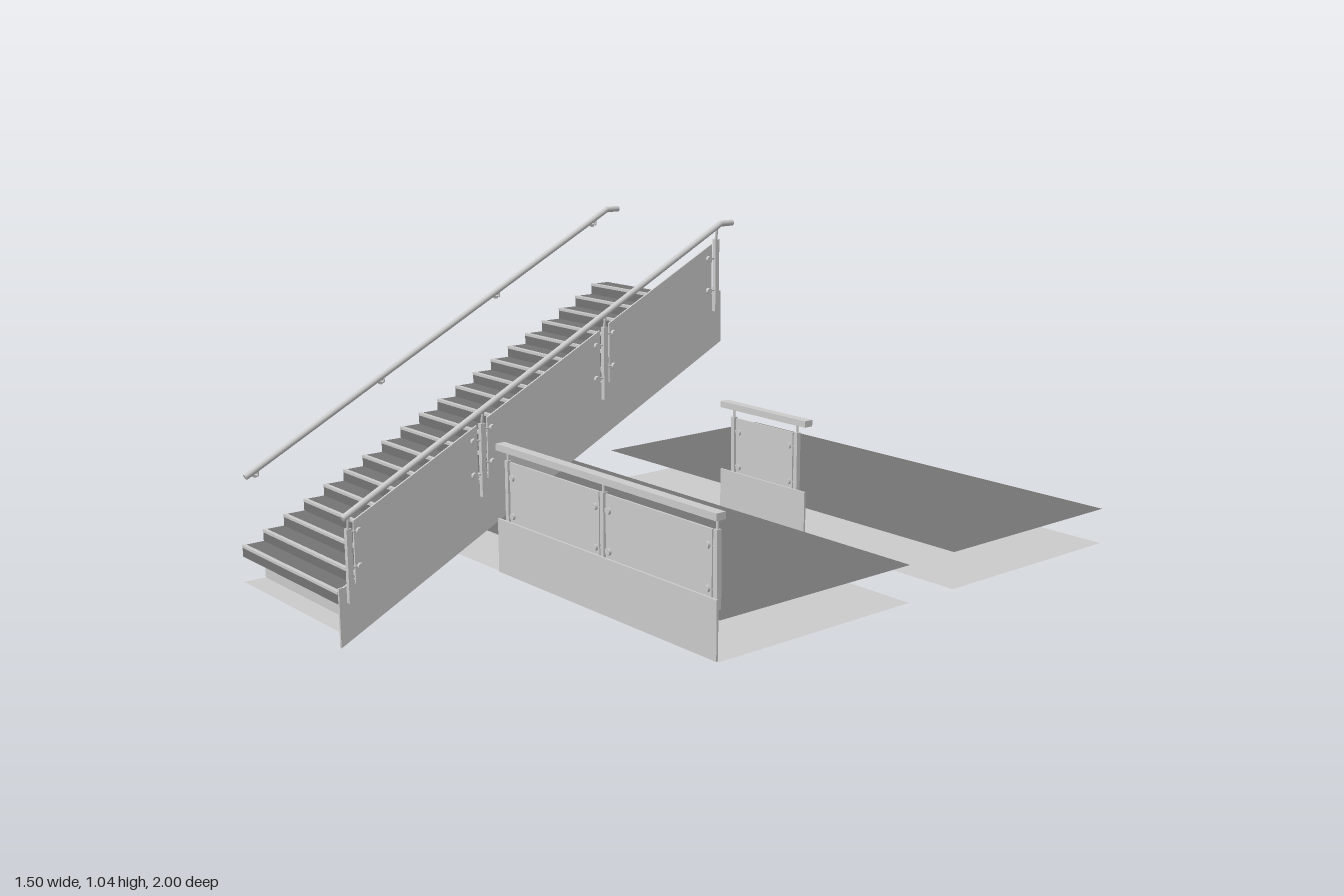
import * as THREE from 'three';

const mat = new THREE.MeshStandardMaterial({ color: 0xcccccc });
const thin = new THREE.MeshStandardMaterial({ color: 0xcccccc, side: THREE.DoubleSide });
const dark = new THREE.MeshStandardMaterial({ color: 0x747474, side: THREE.DoubleSide });

const SLOPE = 0.504, STEPS = 20, RUN = 1.333 / STEPS, RISE = 0.0335;
const slopeY = (z, y0) => y0 + (1 - z) * SLOPE; // height of a line parallel to the stair

function add(parent, name, geometry, material = mat) {
  const mesh = new THREE.Mesh(geometry, material);
  mesh.name = name;
  parent.add(mesh);
  return mesh;
}

function group(parent, name) {
  const g = new THREE.Group();
  g.name = name;
  parent.add(g);
  return g;
}

function box(parent, name, w, h, d, x, y, z) {
  add(parent, name, new THREE.BoxGeometry(w, h, d)).position.set(x, y, z);
}

// Round bar between two points
function bar(parent, name, a, b, r, sides = 14) {
  const p = new THREE.Vector3(...a), q = new THREE.Vector3(...b);
  const dir = q.clone().sub(p);
  const m = add(parent, name, new THREE.CylinderGeometry(r, r, dir.length(), sides));
  m.position.copy(p).add(q).multiplyScalar(0.5);
  m.quaternion.setFromUnitVectors(new THREE.Vector3(0, 1, 0), dir.normalize());
}

// Flat plate with an outline in z and y, centred on x
function sidePlate(parent, name, outline, x, thickness) {
  const shape = new THREE.Shape(outline.map(([z, y]) => new THREE.Vector2(-z, y)));
  const geo = new THREE.ExtrudeGeometry(shape, { depth: thickness, bevelEnabled: false });
  geo.rotateY(Math.PI / 2).translate(x - thickness / 2, 0, 0);
  add(parent, name, geo);
}

// Open folded sheet: a z,y profile swept between two x positions
function foldedSheet(parent, name, profile, x0, x1, material) {
  const v = [];
  for (let i = 0; i + 1 < profile.length; i++) {
    const [za, ya] = profile[i], [zb, yb] = profile[i + 1];
    v.push(x0, ya, za, x1, ya, za, x1, yb, zb, x0, ya, za, x1, yb, zb, x0, yb, zb);
  }
  const geo = new THREE.BufferGeometry();
  geo.setAttribute('position', new THREE.Float32BufferAttribute(v, 3));
  geo.computeVertexNormals();
  add(parent, name, geo, material);
}

// Floor made of a dark upper sheet and a light lower sheet
function floor(parent, name, z0, z1) {
  const g = group(parent, name);
  foldedSheet(g, 'floorTop', [[z1, 0.22], [z0, 0.22]], -0.75, 0.75, dark);
  foldedSheet(g, 'floorUnderside', [[z1, 0.115], [z0, 0.115]], -0.75, 0.75, thin);
}

// Dark treads with light nosing strips, over a light stepped underside
function buildSteps(parent) {
  const g = group(parent, 'steps');
  const x0 = -0.75, x1 = -0.199;
  const upper = [[1, 0.12]], lower = [];
  for (let i = 0; i < STEPS; i++) {
    const front = 1 - i * RUN, back = front - RUN;
    const y = 0.12 + (i + 1) * RISE;
    upper.push([front, y], [back, y]);
    lower.push([front, y - 0.11], [back, y - 0.11]);
    box(g, 'nosing', x1 - x0, 0.008, 0.012, (x0 + x1) / 2, y - 0.0025, front - 0.0045);
  }
  foldedSheet(g, 'treads', upper, x0, x1, dark);
  foldedSheet(g, 'stairUnderside', lower, x0, x1, thin);
}

// Sloping rail with a short level end at the top
function stairRail(parent, x) {
  const low = [x, 0.357, 0.99], bend = [x, 1.03, -0.315], end = [x, 1.03, -0.362];
  bar(parent, 'slopingHandrail', low, bend, 0.009);
  bar(parent, 'levelHandrailEnd', bend, end, 0.009);
  add(parent, 'handrailBend', new THREE.SphereGeometry(0.009, 14, 10)).position.set(...bend);
}

const railY = (z) => 0.357 + (0.99 - z) * (0.673 / 1.305);

function buildStairRailing(parent) {
  const g = group(parent, 'stairRailing');
  const x = -0.182;
  stairRail(g, -0.176);
  // Posts with a thin stem up to the rail
  const posts = [0.972, 0.548, 0.122, -0.303];
  for (const z of posts) {
    const base = slopeY(z, 0.11), top = railY(z) - 0.04;
    box(g, 'stairPost', 0.014, top - base, 0.015, x, (base + top) / 2, z);
    bar(g, 'postStem', [x, top, z], [-0.176, railY(z), z], 0.004, 8);
  }
  // Sloping panels with corner clips
  for (let i = 0; i < 3; i++) {
    const a = posts[i] - 0.017, b = posts[i + 1] + 0.017;
    sidePlate(g, 'stairPanel', [
      [a, slopeY(a, 0.15)], [b, slopeY(b, 0.15)], [b, slopeY(b, 0.322)], [a, slopeY(a, 0.322)],
    ], x - 0.002, 0.006);
    for (const [z, toward] of [[a - 0.014, posts[i]], [b + 0.014, posts[i + 1]]]) {
      for (const h of [0.19, 0.286]) {
        const y = slopeY(z, h);
        bar(g, 'panelClip', [x - 0.012, y, z], [x + 0.01, y, z], 0.009, 12);
        bar(g, 'clipArm', [x, y, z], [x, y, toward], 0.003, 8);
      }
    }
  }
}

function buildWallRail(parent) {
  const g = group(parent, 'wallRail');
  const x = -0.729;
  stairRail(g, x);
  for (const z of [0.95, 0.53, 0.11, -0.27]) {
    const y = railY(z);
    bar(g, 'bracketStem', [x, y, z], [x, y - 0.022, z], 0.003, 8);
    bar(g, 'bracketArm', [x, y - 0.022, z], [-0.747, y - 0.022, z], 0.003, 8);
    bar(g, 'bracketPlate', [-0.746, y - 0.022, z], [-0.75, y - 0.022, z], 0.01, 12);
  }
}

// Level railing along x: skirt board, posts, panels, clips and rail
function levelRailing(parent, name, x0, x1, z, posts) {
  const g = group(parent, name);
  const mid = (x0 + x1) / 2, len = x1 - x0;
  box(g, 'skirtBoard', len, 0.155, 0.006, mid, 0.193, z + 0.013);
  box(g, 'levelHandrail', len, 0.019, 0.03, mid, 0.475, z + 0.003);
  for (const x of posts) {
    box(g, 'levelPost', 0.014, 0.2, 0.014, x, 0.34, z);
    bar(g, 'postStem', [x, 0.435, z], [x, 0.47, z], 0.004, 8);
  }
  for (let i = 0; i + 1 < posts.length; i++) {
    const a = posts[i] + 0.014, b = posts[i + 1] - 0.014;
    box(g, 'levelPanel', b - a, 0.18, 0.006, (a + b) / 2, 0.348, z + 0.002);
    for (const [x, toward] of [[a + 0.014, posts[i]], [b - 0.014, posts[i + 1]]]) {
      for (const y of [0.287, 0.396]) {
        bar(g, 'panelClip', [x, y, z - 0.01], [x, y, z + 0.012], 0.009, 12);
        bar(g, 'clipArm', [x, y, z], [toward, y, z], 0.003, 8);
      }
    }
  }
}

export function createModel() {
  const model = new THREE.Group();
  model.name = 'staircaseWithLandings';

  floor(model, 'backLanding', -1, -0.34);
  floor(model, 'frontLanding', -0.165, 0.505);

  buildSteps(model);
  // Sloping side board of the stair, with level cuts at both ends
  sidePlate(model, 'stringer', [
    [1, 0], [-0.333, 0.67], [-0.333, 0.825], [-0.31, 0.825], [0.985, 0.165], [1, 0.165],
  ], -0.196, 0.007);

  buildStairRailing(model);
  buildWallRail(model);
  levelRailing(model, 'frontRailing', -0.17, 0.745, 0.495, [-0.137, 0.29, 0.729]);
  levelRailing(model, 'backRailing', -0.185, 0.185, -0.345, [-0.14, 0.135]);
  return model;
}
